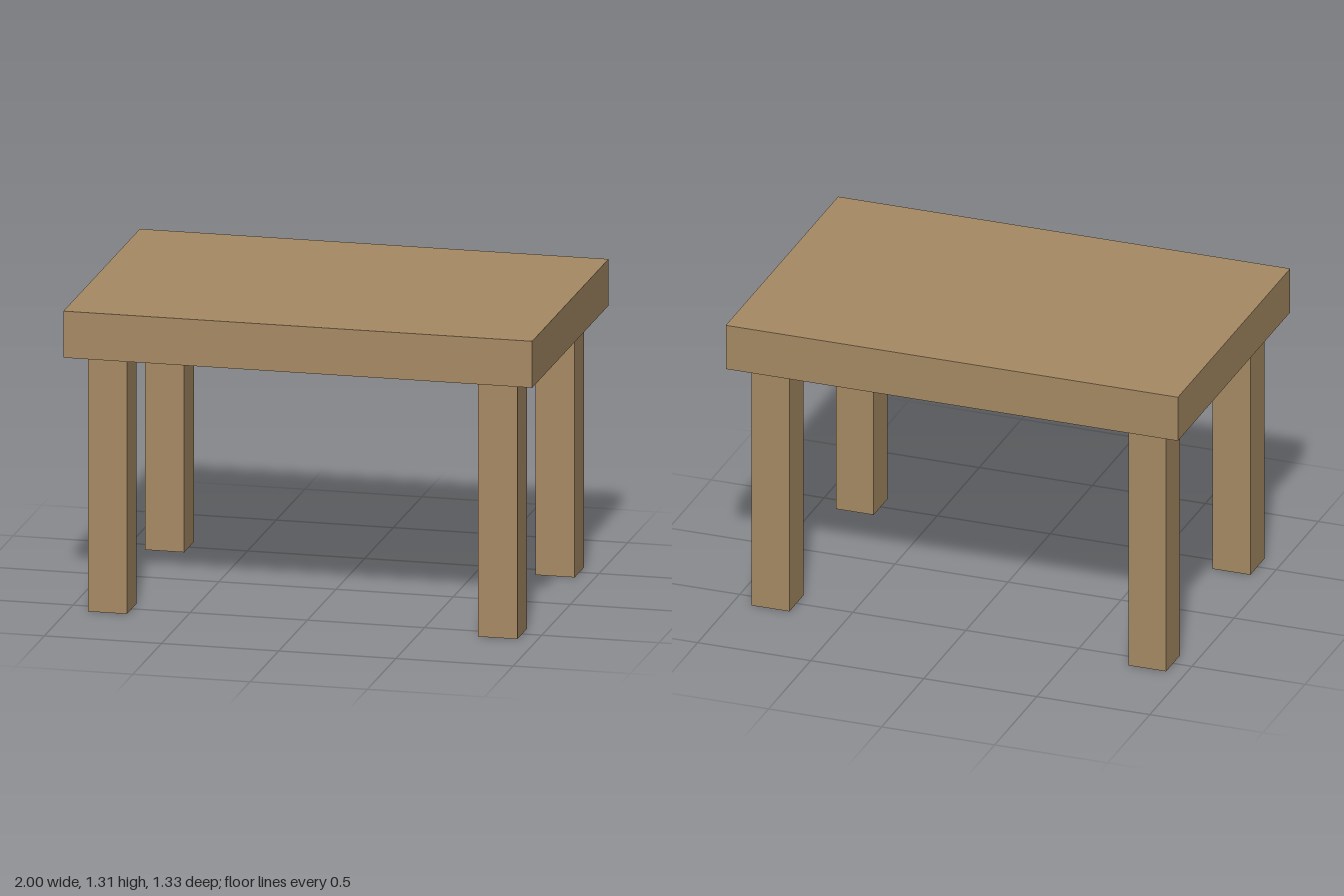
import * as THREE from 'three';

const TOP_HEIGHT = 1.307;
const TOP_THICKNESS = 0.2;
const LEG_HEIGHT = TOP_HEIGHT - TOP_THICKNESS;
const LEG_WIDTH = 0.167;

export function createModel() {
  const table = new THREE.Group();
  table.name = 'table';
  const wood = new THREE.MeshStandardMaterial({ color: 0xa68a64 });

  // Thick rectangular slab
  const top = new THREE.Mesh(new THREE.BoxGeometry(2, TOP_THICKNESS, 1.333), wood);
  top.name = 'tableTop';
  top.position.y = TOP_HEIGHT - TOP_THICKNESS / 2;
  table.add(top);

  // Four square legs, inset from the corners
  const legGeometry = new THREE.BoxGeometry(LEG_WIDTH, LEG_HEIGHT, LEG_WIDTH);
  for (const [side, x] of [['Left', 1], ['Right', -1]]) {
    for (const [end, z] of [['front', 1], ['back', -1]]) {
      const leg = new THREE.Mesh(legGeometry, wood);
      leg.name = `${end}${side}Leg`;
      leg.position.set(x * 0.833, LEG_HEIGHT / 2, z * 0.5);
      table.add(leg);
    }
  }

  return table;
}
